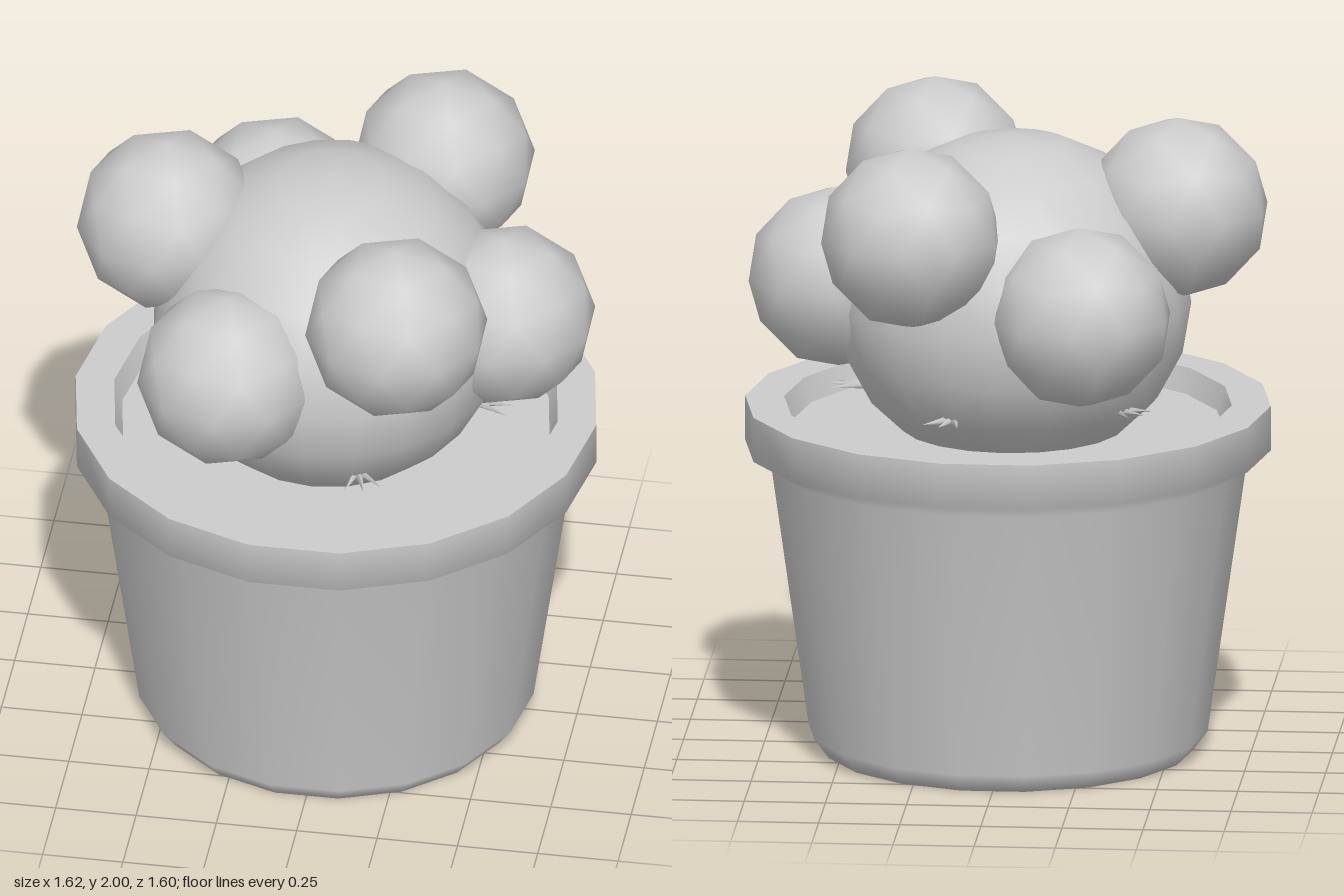
import * as THREE from 'three';

export function createModel() {
  const model = new THREE.Group();
  const grey = new THREE.MeshStandardMaterial({ color: 0xcccccc });
  grey.name = 'light grey';

  const add = (name, geometry, parent = model) => {
    const mesh = new THREE.Mesh(geometry, grey);
    mesh.name = name;
    parent.add(mesh);
    return mesh;
  };

  // Each lathe is separate so the edges between them stay sharp
  const turned = (name, profile) => add(name, new THREE.LatheGeometry(
    profile.map(([r, y]) => new THREE.Vector2(r, y)), 18, Math.PI / 2));

  // Pot
  turned('potOutside', [[0, 0], [0.57, 0], [0.615, 0.06], [0.735, 0.91], [0.81, 0.955], [0.81, 1.095]]);
  turned('potRimTop', [[0.81, 1.095], [0.69, 1.095]]);
  turned('potInnerWall', [[0.69, 1.095], [0.665, 1.02]]);
  turned('soil', [[0.67, 1.02], [0, 1.02]]);

  // Cactus body, a slightly flattened ball
  const body = add('cactusBody', new THREE.SphereGeometry(1, 20, 10));
  body.scale.set(0.55, 0.52, 0.57);
  body.position.set(-0.015, 1.42, 0);

  // Six round offshoots, alternately low and high, each with a vertex on top
  const ballGeometry = new THREE.IcosahedronGeometry(0.283, 1);
  ballGeometry.rotateZ(-Math.atan(2 / (1 + Math.sqrt(5))));
  for (let i = 0; i < 6; i++) {
    const a = i * Math.PI / 3;
    const ball = add('offshoot', ballGeometry);
    ball.position.set(0.523 * Math.cos(a), i % 2 ? 1.72 : 1.48, 0.523 * Math.sin(a));
  }

  // Five clusters of three fanned spines around the base
  const spineGeometry = new THREE.ConeGeometry(0.016, 0.12, 4);
  spineGeometry.rotateZ(-Math.PI / 2).translate(0.06, 0, 0);
  for (let i = 0; i < 5; i++) {
    const cluster = new THREE.Group();
    cluster.name = 'spineCluster';
    cluster.rotation.y = i * Math.PI * 2 / 5;
    for (const side of [-1, 0, 1]) {
      const spine = add('spine', spineGeometry, cluster);
      spine.position.set(0.435, 1.14, 0);
      spine.rotation.y = side * 0.5;
    }
    model.add(cluster);
  }
  return model;
}
